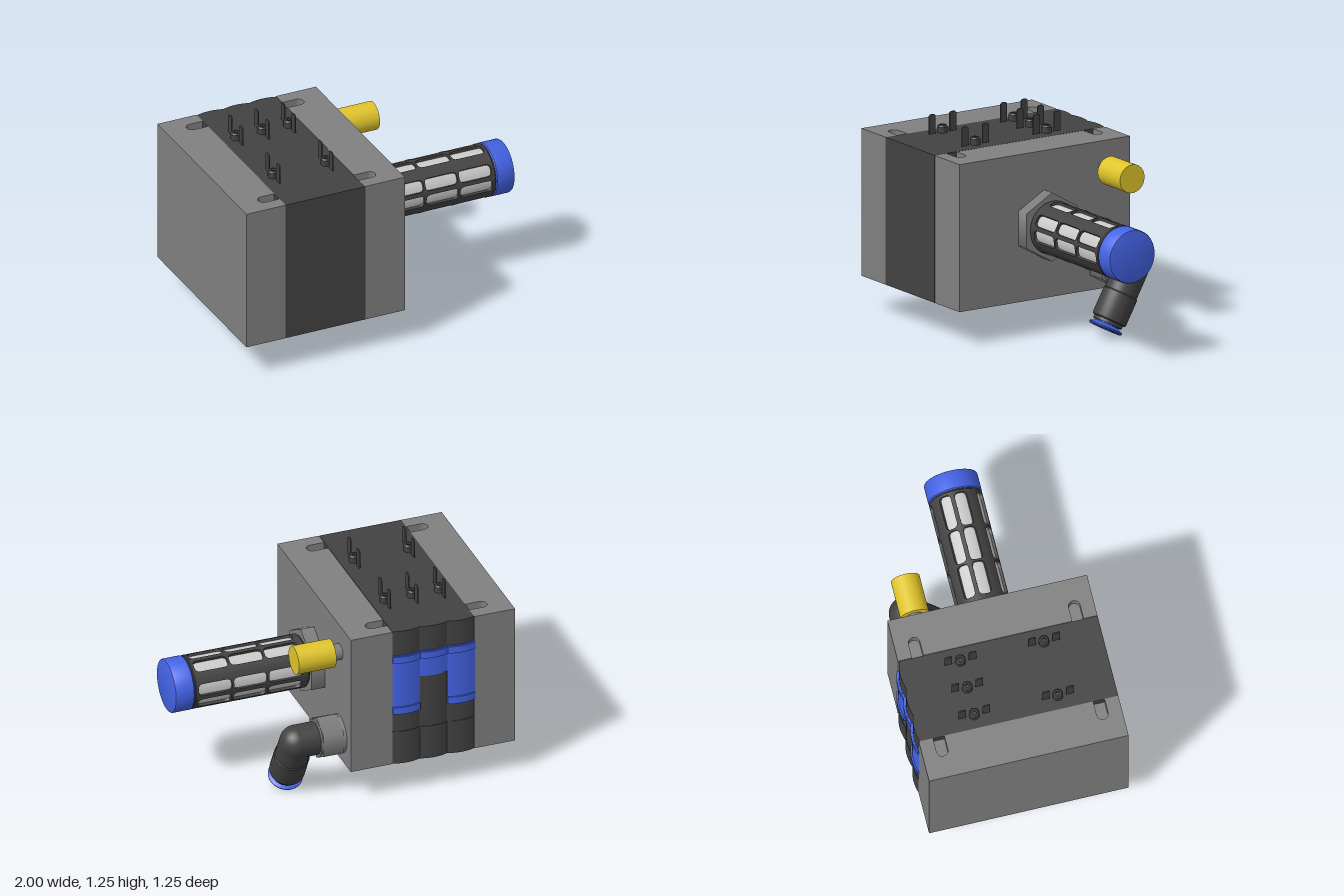
import * as THREE from 'three';
import { toCreasedNormals } from 'three/addons/utils/BufferGeometryUtils.js';

const mat = (color) => new THREE.MeshStandardMaterial({ color });
const GREY = mat(0x808080), DARK = mat(0x424242), BLUE = mat(0x4463e6), YELLOW = mat(0xe0c42a), LIGHT = mat(0xcccccc);
const V = (x, y) => new THREE.Vector2(x, y);
const COLUMNS = [-0.655, -0.48, -0.305];

export function createModel() {
  const model = new THREE.Group();
  const add = (name, geo, material, x = 0, y = 0, z = 0, parent = model) => {
    const mesh = new THREE.Mesh(geo, material);
    mesh.name = name;
    mesh.position.set(x, y, z);
    parent.add(mesh);
    return mesh;
  };
  // Lathe from [radius, height] pairs with sharp edges kept
  const lathe = (pts, seg = 40) =>
    toCreasedNormals(new THREE.LatheGeometry(pts.map((p) => V(...p)), seg), 0.6);
  // Same, but turned so that the height runs along +x
  const latheX = (pts, seg) => lathe(pts, seg).rotateZ(-Math.PI / 2);
  // Plan shape (x, -z) raised from y0 to y1
  const slab = (shape, y0, y1) =>
    new THREE.ExtrudeGeometry(shape, { depth: y1 - y0, bevelEnabled: false, curveSegments: 12 })
      .rotateX(-Math.PI / 2).translate(0, y0, 0);

  // End blocks: s = +1 right-hand block, -1 the other; each touches the valve stack at x = inner
  for (const [s, inner, w] of [[1, -0.215, 0.265], [-1, -0.74, 0.26]]) {
    const block = new THREE.Group();
    block.name = 'endBlock';
    model.add(block);
    const P = (u, v) => V(inner + s * u, v);
    const corners = [P(0, -0.625), P(w, -0.625), P(w, 0.602), P(0, 0.602)];
    const notched = [...corners];
    for (const v of [0.48, -0.505]) {
      notched.push(P(0, v + 0.035));
      for (let i = 0; i <= 12; i++) {
        const a = Math.PI / 2 - (i / 12) * Math.PI;
        notched.push(P(0.09 + 0.035 * Math.cos(a), v + 0.035 * Math.sin(a)));
      }
      notched.push(P(0, v - 0.035));
    }
    const base = new THREE.Shape(corners);
    for (const v of [0.48, -0.505]) {
      const c = P(0.09, v);
      base.holes.push(new THREE.Path().absarc(c.x, c.y, 0.035, 0, Math.PI * 2));
    }
    base.holes.push(new THREE.Path([P(0.11, -0.38), P(0.14, -0.38), P(0.14, 0.38), P(0.11, 0.38)]));
    add('blockBase', slab(base, 0.22, 0.24), GREY, 0, 0, 0, block);
    add('blockCore', slab(new THREE.Shape(corners), 0.24, 1.08), GREY, 0, 0, 0, block);
    add('slottedTop', slab(new THREE.Shape(notched), 1.08, 1.13), GREY, 0, 0, 0, block);
  }

  // Valve stack with three gently bulging backs
  const backStrip = (columns, front, edge, bulge) => {
    const pts = [];
    for (const c of columns)
      for (let i = 0; i <= 12; i++) {
        const t = i / 6 - 1;
        pts.push(V(c + t * 0.0875, edge + bulge * (1 - t * t)));
      }
    pts.push(V(pts[pts.length - 1].x, front), V(pts[0].x, front));
    return new THREE.Shape(pts);
  };
  add('valveStack', slab(backStrip(COLUMNS, -0.625, 0.595, 0.015), 0.22, 1.13), DARK);
  add('backStep', slab(backStrip(COLUMNS, 0.5, 0.598, 0.016), 0.22, 0.44), DARK);

  // Blue clips on the back
  add('clipBand', slab(backStrip(COLUMNS, 0.5, 0.602, 0.014), 0.79, 0.965), BLUE);
  add('clipLip', slab(backStrip(COLUMNS, 0.5, 0.61, 0.016), 0.915, 0.96), BLUE);
  for (const c of [COLUMNS[0], COLUMNS[2]]) {
    add('clipLeg', slab(backStrip([c], 0.5, 0.602, 0.014), 0.565, 0.79), BLUE);
    add('clipFoot', slab(backStrip([c], 0.5, 0.61, 0.016), 0.565, 0.612), BLUE);
  }

  // Contact posts, each between two thin blades
  const blade = new THREE.Shape([V(-0.023, 0), V(0.023, 0), V(0.023, 0.11), V(0.013, 0.12), V(-0.013, 0.12), V(-0.023, 0.11)]);
  const bladeGeo = new THREE.ExtrudeGeometry(blade, { depth: 0.008, bevelEnabled: false })
    .translate(0, 0, -0.004).rotateY(Math.PI / 2);
  const postGeo = lathe([[0.032, 0], [0.032, 0.036], [0.024, 0.046], [0.013, 0.046], [0.013, 0.03], [0, 0.03]], 24);
  for (const [z, columns] of [[0.274, [COLUMNS[0], COLUMNS[2]]], [-0.24, COLUMNS]])
    for (const x of columns) {
      add('contactPost', postGeo, DARK, x, 1.13, z);
      for (const s of [-1, 1]) add('contactBlade', bladeGeo, DARK, x, 1.13, z + s * 0.074);
    }

  // Push-in fittings underneath
  const fitting = lathe([[0.035, 0.08], [0.035, 0], [0.055, 0], [0.062, 0.01], [0.062, 0.022], [0.05, 0.042],
    [0.06, 0.055], [0.06, 0.1]], 32);
  for (const x of COLUMNS)
    for (const z of [0.165, -0.13]) {
      add('pushFitting', fitting, BLUE, x, 0.13, z);
      add('fittingBore', new THREE.CylinderGeometry(0.036, 0.036, 0.02, 24), DARK, x, 0.21, z);
    }

  // Silencer: hex nut, light core, slotted cage and blue cap along +x
  const silencer = new THREE.Group();
  silencer.name = 'silencer';
  silencer.position.set(0, 0.675, 0.016);
  model.add(silencer);
  const hex = (r, len) => new THREE.CylinderGeometry(r, r, len, 6).rotateZ(Math.PI / 2).rotateX(Math.PI / 2);
  // Turn the hexagon so that a corner points up
  const hexUp = (r, len) => {
    const g = hex(r, len);
    g.computeBoundingBox();
    return g.boundingBox.max.y < r * 0.95 ? g.rotateX(Math.PI / 2) : g;
  };
  add('silencerNut', hexUp(0.213, 0.085), GREY, 0.0925, 0, 0, silencer);
  add('silencerCore', new THREE.CylinderGeometry(0.148, 0.148, 0.72, 48).rotateZ(Math.PI / 2), LIGHT, 0.505, 0, 0, silencer);
  const R = 0.164, RIN = 0.147;
  add('cageCollar', latheX([[0, 0.13], [0.155, 0.135], [R, 0.145], [R, 0.1775], [RIN, 0.1775]], 48), DARK, 0, 0, 0, silencer);
  add('cageEndRing', latheX([[RIN, 0.8525], [R, 0.8525], [R, 0.862], [0.159, 0.866], [0.159, 0.875]], 48), DARK, 0, 0, 0, silencer);
  add('silencerCap', latheX([[0, 0.872], [0.159, 0.872], [0.165, 0.878], [0.165, 0.985], [0.161, 0.992], [0.152, 0.995], [0, 0.995]], 48),
    BLUE, 0, 0, 0, silencer);

  // One cage cell: loops from a rounded slot out to the cell's rectangular edge, wrapped on the cylinder
  const cell = (cx, cellAngle, slotAngle) => {
    const N = 12, g = new THREE.PlaneGeometry(1, 1, N * 4, 4), p = g.attributes.position;
    const a = 0.106, b = 0.235, cr = 0.025;
    for (let i = 0; i < p.count; i++) {
      const col = i % (N * 4 + 1), row = Math.floor(i / (N * 4 + 1));
      const side = Math.floor(col / N) % 4, t = Math.sin((((col % N) / N) * 2 - 1) * Math.PI / 2);
      const [sx, sy] = [[t, -1], [1, t], [-t, 1], [-1, -t]][side];
      let hx = sx * a, hy = sy * b * R;
      const kx = Math.max(-a + cr, Math.min(a - cr, hx)), ky = Math.max(cr - b * R, Math.min(b * R - cr, hy));
      const d = Math.hypot(hx - kx, hy - ky);
      if (d > cr) { hx = kx + (hx - kx) * cr / d; hy = ky + (hy - ky) * cr / d; }
      const k = Math.max(0, row - 1) / 3;
      const x = hx * (1 - k) + sx * 0.1125 * k;
      const ang = (slotAngle + hy / R) * (1 - k) + (cellAngle + sy * Math.PI / 8) * k;
      const r = row === 0 ? RIN : R;
      p.setXYZ(i, cx + x, r * Math.sin(ang), r * Math.cos(ang));
    }
    return toCreasedNormals(g, 0.7);
  };
  const cageMat = mat(0x424242);
  cageMat.side = THREE.DoubleSide;
  const deg = Math.PI / 180;
  for (let q = 0; q < 4; q++)
    for (const s of [-1, 1])
      for (const cx of [0.29, 0.515, 0.74])
        add('cageCell', cell(cx, (10 + q * 90 + s * 22.5) * deg, (10 + q * 90 + s * 18) * deg), cageMat, 0, 0, 0, silencer);

  // Yellow plug on a short stem
  add('plugStem', new THREE.CylinderGeometry(0.05, 0.05, 0.08, 32).rotateZ(Math.PI / 2), GREY, 0.08, 0.955, -0.42);
  add('plug', new THREE.CylinderGeometry(0.088, 0.088, 0.24, 40).rotateZ(Math.PI / 2), YELLOW, 0.225, 0.955, -0.42);

  // Elbow fitting: nut, rounded corner and tilted outlet
  const elbow = new THREE.Group();
  elbow.name = 'elbow';
  elbow.position.set(0, 0.39, -0.42);
  model.add(elbow);
  add('elbowNut', hexUp(0.138, 0.13), GREY, 0.135, 0, 0, elbow);
  add('elbowNutFace', new THREE.CylinderGeometry(0.115, 0.12, 0.16, 32).rotateZ(-Math.PI / 2), GREY, 0.13, 0, 0, elbow);
  add('elbowInlet', new THREE.CylinderGeometry(0.102, 0.102, 0.13, 40).rotateZ(Math.PI / 2), DARK, 0.265, 0, 0, elbow);
  add('elbowCorner', new THREE.SphereGeometry(0.102, 40, 24), DARK, 0.33, 0, 0, elbow);
  const outlet = new THREE.Group();
  outlet.name = 'outlet';
  outlet.position.x = 0.33;
  outlet.rotation.x = -29 * deg;
  elbow.add(outlet);
  add('outletBody', lathe([[0.06, -0.35], [0.092, -0.35], [0.092, -0.33], [0.106, -0.325], [0.108, -0.315], [0.108, -0.155],
    [0.102, -0.148], [0.102, 0]]), DARK, 0, 0, 0, outlet);
  add('releaseRing', lathe([[0.05, -0.3], [0.05, -0.375], [0.06, -0.385], [0.1, -0.385], [0.106, -0.378], [0.106, -0.372],
    [0.075, -0.355], [0.075, -0.34]]), BLUE, 0, 0, 0, outlet);
  add('outletBore', new THREE.CylinderGeometry(0.055, 0.055, 0.02, 32), DARK, 0, -0.31, 0, outlet);

  return model;
}
